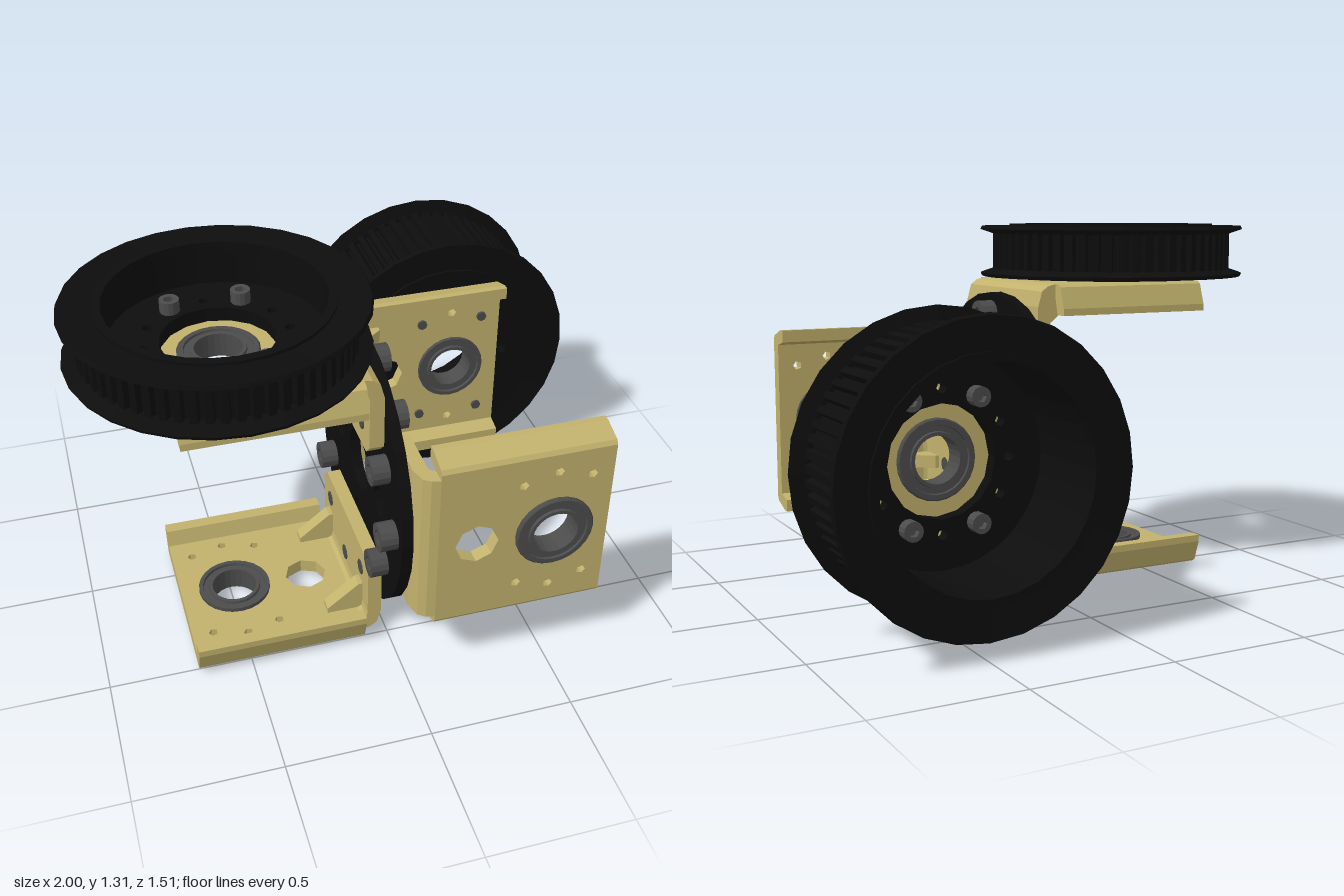
import * as THREE from 'three';

const mat = (color, side = THREE.FrontSide) =>
  new THREE.MeshStandardMaterial({ color, flatShading: true, side });
const BLACK = mat(0x0d0d0d), BRASS = mat(0xc2b26d), STEEL = mat(0x4c4c4c);

const U = 0.495;          // bearing axis distance from the hub disc
const PLATE_OUT = 0.54;   // outer face of a bracket plate, from the hub axis

function add(parent, name, geometry, material) {
  const mesh = new THREE.Mesh(geometry, material);
  mesh.name = name;
  parent.add(mesh);
  return mesh;
}

const poly = (pts) => new THREE.Shape(pts.map(([x, y]) => new THREE.Vector2(x, y)));

function circlePts(r, n, cx = 0, cy = 0) {
  return Array.from({ length: n }, (_, i) => {
    const a = (i / n) * Math.PI * 2;
    return [cx + r * Math.cos(a), cy + r * Math.sin(a)];
  });
}

function cut(shape, r, n, cx = 0, cy = 0) {
  shape.holes.push(new THREE.Path(circlePts(r, n, cx, cy).map(([x, y]) => new THREE.Vector2(x, y))));
}

const extrude = (shape, depth) => new THREE.ExtrudeGeometry(shape, { depth, bevelEnabled: false });
// Extrusion standing along +y, or along +x (shape x becomes -z)
const extrudeY = (shape, depth) => extrude(shape, depth).rotateX(-Math.PI / 2);
const extrudeX = (shape, depth) => extrude(shape, depth).rotateY(Math.PI / 2);
const lathe = (pts, n) => new THREE.LatheGeometry(pts.map(([x, y]) => new THREE.Vector2(x, y)), n);

// Socket head bolt: seat at y = 0, head up, shank down
function makeBolt(r, head, shank) {
  const g = new THREE.Group();
  g.name = 'bolt';
  const ring = poly(circlePts(r, 14));
  cut(ring, r * 0.55, 6);
  add(g, 'boltHead', extrudeY(ring, head), STEEL);
  const len = shank + head * 0.45;
  add(g, 'boltShank', new THREE.CylinderGeometry(r * 0.56, r * 0.56, len, 8)
    .translate(0, head * 0.45 - len / 2, 0), STEEL);
  return g;
}

// Flanged bearing around the y axis
function makeBearing() {
  return lathe([
    [0.08, 0.475], [0.092, 0.475], [0.094, 0.485], [0.113, 0.485], [0.115, 0.475], [0.13, 0.475],
    [0.13, 0.535], [0.137, 0.542], [0.137, 0.553], [0.132, 0.558], [0.115, 0.558], [0.113, 0.55],
    [0.094, 0.55], [0.092, 0.56], [0.08, 0.56], [0.08, 0.475],
  ], 24);
}

// L bracket: x along the arm, y away from the hub axis, z across
function makeBracket(name) {
  const g = new THREE.Group();
  g.name = name;
  const HW = 0.29;

  // Arm plate with bearing seat, lightening hole and screw holes
  const plate = poly([[0.09, -HW], [0.69, -HW], [0.69, HW], [0.09, HW]]);
  cut(plate, 0.128, 24, U, 0);
  cut(plate, 0.075, 8, 0.225, 0);
  for (const deg of [60, 90, 120, 240, 270, 300]) {
    const a = THREE.MathUtils.degToRad(deg);
    cut(plate, 0.017, 5, U + 0.24 * Math.cos(a), 0.24 * Math.sin(a));
  }
  add(g, 'armPlate', extrudeY(plate, 0.05).translate(0, 0.49, 0), BRASS);

  // Folded side lips
  for (const s of [1, -1]) {
    const lip = poly([[0.29, 0.49], [0.305, 0.43], [0.35, 0.43], [0.35, 0.455], [0.325, 0.53], [0.31, 0.54], [0.29, 0.54]]
      .map(([w, v]) => [s * w, v]));
    add(g, 'sideLip', extrudeX(lip, 0.6).translate(0.09, 0, 0), BRASS);
  }

  // Rounded fold between arm and flange
  const fold = poly([[0.02, 0.46], [0.07, 0.46], [0.075, 0.483], [0.09, 0.49], [0.09, 0.54], [0.06, 0.533], [0.035, 0.515]]);
  add(g, 'fold', extrude(fold, HW * 2).translate(0, 0, -HW), BRASS);

  // Mounting flange
  const flange = poly([[-0.25, 0.23], [0.25, 0.23], [HW, 0.27], [HW, 0.46], [-HW, 0.46], [-HW, 0.27]]);
  add(g, 'mountingFlange', extrudeX(flange, 0.05).translate(0.02, 0, 0), BRASS);

  // Stiffening gussets in the fold
  const gusset = poly([[0.06, 0.38], [0.085, 0.38], [0.2, 0.47], [0.2, 0.495], [0.06, 0.495]]);
  for (const s of [1, -1])
    add(g, 'gusset', extrude(gusset, 0.05).translate(0, 0, s * 0.2 - 0.025), BRASS);

  // Flange bolts, heads on the far side of the disc
  for (const [v, w] of [[0.32, 0.2], [0.32, -0.2], [0.42, 0]]) {
    const bolt = makeBolt(0.05, 0.06, 0.094);
    bolt.rotation.z = Math.PI / 2;
    bolt.position.set(-0.02, v, w);
    g.add(bolt);
  }

  add(g, 'bearing', makeBearing(), STEEL).position.x = U;
  return g;
}

// Cup shaped toothed pulley of height h, floor at y = 0
function makePulley(name, h) {
  const g = new THREE.Group();
  g.name = name;
  const INNER = 0.36, TEETH = 60;

  // Toothed wall
  const outline = [];
  for (let i = 0; i < TEETH; i++)
    for (const [t, r] of [[0, 0.435], [0.25, 0.435], [0.38, 0.455], [0.87, 0.455]]) {
      const a = ((i + t) / TEETH) * Math.PI * 2;
      outline.push([r * Math.cos(a), r * Math.sin(a)]);
    }
  const wall = poly(outline);
  cut(wall, INNER, 32);
  add(g, 'toothedWall', extrudeY(wall, h - 0.04).translate(0, 0.02, 0), BLACK);

  // Belt flanges with a raised face ring
  const rim = [[INNER, 0], [0.39, 0], [0.39, 0.011], [0.497, 0.007], [0.503, 0.02], [0.45, 0.038], [INNER, 0.038], [INNER, 0]];
  add(g, 'innerBeltFlange', lathe(rim, 28), BLACK);
  add(g, 'outerBeltFlange', lathe(rim.map(([r, y]) => [r, h - y]).reverse(), 28), BLACK);

  // Floor with a ring of holes
  const floor = poly(circlePts(INNER + 0.01, 32));
  cut(floor, 0.19, 16);
  for (const [x, y] of circlePts(0.24, 12)) cut(floor, 0.018, 8, x, y);
  add(g, 'floor', extrudeY(floor, 0.05), BLACK);

  // Bolts holding the pulley to its bracket
  for (const sx of [1, -1]) for (const sz of [1, -1]) {
    const bolt = makeBolt(0.034, 0.045, 0.115);
    bolt.position.set(sx * 0.12, 0.05, sz * 0.208);
    g.add(bolt);
  }
  g.position.set(U, PLATE_OUT + 0.005, 0);
  return g;
}

export function createModel() {
  const model = new THREE.Group();
  model.name = 'pulleyBracketAssembly';
  const hub = new THREE.Group();
  hub.name = 'hub';
  hub.position.set(0, 0.56, 0.2);
  model.add(hub);

  // Central disc
  const disc = poly(circlePts(0.5, 28));
  cut(disc, 0.115, 14);
  for (const [x, y] of circlePts(0.24, 4)) cut(disc, 0.058, 10, x, y);
  add(hub, 'hubDisc', extrudeX(disc, 0.04).translate(-0.02, 0, 0), BLACK);

  // Four brackets around the disc, two of them carrying pulleys
  const arms = [
    ['frontBracket', [Math.PI / 2, 0, 0]],
    ['backBracket', [-Math.PI / 2, 0, 0], 'backPulley', 0.41],
    ['topBracket', [0, Math.PI, 0], 'topPulley', 0.205],
    ['bottomBracket', [0, 0, Math.PI]],
  ];
  for (const [name, rot, pulleyName, height] of arms) {
    const bracket = makeBracket(name);
    bracket.rotation.set(...rot);
    if (pulleyName) bracket.add(makePulley(pulleyName, height));
    hub.add(bracket);
  }
  return model;
}
